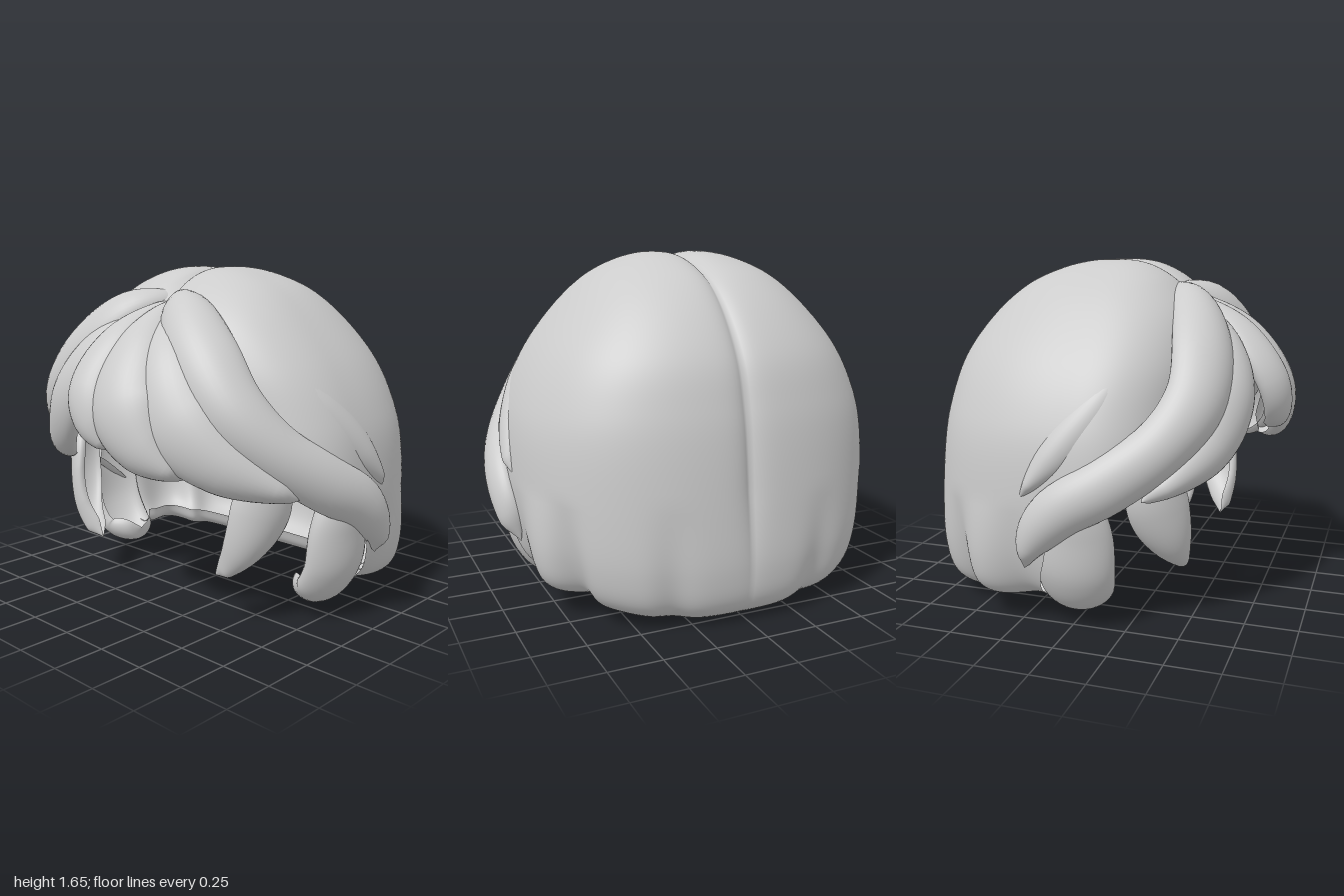
import * as THREE from 'three';

const hair = new THREE.MeshStandardMaterial({ color: 0xcccccc, side: THREE.DoubleSide });
hair.name = 'pale grey hair';
const CENTRE = new THREE.Vector3(0, 0.8, -0.05);

function gridGeometry(pos, idx) {
  const g = new THREE.BufferGeometry();
  g.setAttribute('position', new THREE.Float32BufferAttribute(pos, 3));
  g.setIndex(idx);
  g.computeVertexNormals();
  return g;
}

// Lock of hair: an arched shell with rolled edges, hollow towards the head,
// swept along points [x, y, z, halfWidth]
function lock(name, pts, thick, bend = 0.2) {
  const path = new THREE.CatmullRomCurve3(pts.map(p => new THREE.Vector3(p[0], p[1], p[2])));
  const widths = new THREE.CatmullRomCurve3(pts.map((p, i) => new THREE.Vector3(p[3], i, 0)), false, 'catmullrom');
  const rings = 48, sides = 24, roll = 0.6, pos = [], idx = [];
  for (let i = 0; i <= rings; i++) {
    const t = i / rings;
    const round = Math.sqrt(Math.max(0, 1 - Math.abs(2 * t - 1) ** 8));
    const c = path.getPoint(t), T = path.getTangent(t);
    const N = c.clone().sub(CENTRE);
    N.addScaledVector(T, -N.dot(T)).normalize();
    const B = T.clone().cross(N);
    const w = Math.max(0.01, widths.getPoint(t).x) * round;
    const h = Math.min(thick, w * 1.2 + 0.005) * round;
    for (let j = 0; j <= sides; j++) {
      const a = (j / sides) * (Math.PI + 2 * roll) - roll, cs = Math.cos(a);
      const p = c.clone().addScaledVector(B, w * cs)
        .addScaledVector(N, h * Math.sin(a) - bend * w * cs * cs);
      pos.push(p.x, p.y, p.z);
      if (i < rings && j < sides) {
        const k = i * (sides + 1) + j, m = k + sides + 1;
        idx.push(k, m, k + 1, k + 1, m, m + 1);
      }
    }
  }
  const mesh = new THREE.Mesh(gridGeometry(pos, idx), hair);
  mesh.name = name;
  return mesh;
}

// Open cap ending in a hem rolled inwards: [side, back, front, height, opening angle]
const CAP = [
  [0, 0, 0, 1.66, 180], [0.16, 0.14, 0.12, 1.65, 180], [0.31, 0.29, 0.23, 1.61, 180],
  [0.46, 0.455, 0.34, 1.53, 180], [0.61, 0.61, 0.45, 1.39, 170], [0.76, 0.74, 0.5, 1.2, 150],
  [0.86, 0.805, 0.5, 1.0, 130], [0.91, 0.84, 0.5, 0.8, 108], [0.92, 0.865, 0.5, 0.5, 91],
  [0.9, 0.87, 0.5, 0.25, 87], [0.85, 0.83, 0.5, 0.08, 85], [0.76, 0.71, 0.5, 0.0, 84],
  [0.68, 0.6, 0.45, 0.04, 84], [0.66, 0.56, 0.45, 0.12, 84],
];

function cap() {
  const curve = f => new THREE.CatmullRomCurve3(CAP.map(f), false, 'catmullrom');
  const size = curve(r => new THREE.Vector3(r[0], r[1], r[2]));
  const place = curve(r => new THREE.Vector3(r[3], r[4], 0));
  const rows = 90, cols = 160, pos = [], idx = [];
  const power = v => Math.sign(v) * Math.abs(v) ** 0.78;
  for (let i = 0; i <= rows; i++) {
    const s = size.getPoint(i / rows), q = place.getPoint(i / rows);
    const limit = Math.min(180, q.y) * Math.PI / 180;
    const low = THREE.MathUtils.clamp((0.6 - q.x) / 0.6, 0, 1);
    for (let j = 0; j <= cols; j++) {
      const u = (j / cols) * 2 - 1;
      const a = limit * Math.sign(u) * Math.abs(u) ** 1.25;
      // shallow creases between the lower locks, and a fuller lock behind the ear
      let k = 1 + 0.05 * low * Math.exp(-(((Math.abs(a) - 1.18) / 0.13) ** 2));
      for (const [c, depth] of [[0.33, 0.04], [0.95, 0.08], [1.4, 0.05]]) {
        k -= depth * low * Math.exp(-(((Math.abs(a) - c) / 0.1) ** 2));
      }
      const cos = Math.cos(a);
      const p = new THREE.Vector3(
        s.x * power(Math.sin(a)) * k,
        q.x + 0.13 * Math.sin(a) ** 2 * low,
        -(cos > 0 ? s.y : s.z) * power(cos) * k);
      // centre parting
      const dir = CENTRE.clone().sub(p).normalize();
      p.addScaledVector(dir, 0.045 * (1 - low) * Math.exp(-Math.abs(p.x) / 0.05));
      pos.push(p.x, p.y, p.z);
      if (i < rows && j < cols) {
        const n = i * (cols + 1) + j, m = n + cols + 1;
        idx.push(n, n + 1, m, n + 1, m + 1, m);
      }
    }
  }
  const mesh = new THREE.Mesh(gridGeometry(pos, idx), hair);
  mesh.name = 'hairCap';
  return mesh;
}

export function createModel() {
  const group = new THREE.Group();
  group.name = 'hair';
  group.add(cap());

  // Locks that repeat on both sides
  for (const [side, m] of [['left', 1], ['right', -1]]) {
    const add = (name, pts, thick, bend) =>
      group.add(lock(side + name, pts.map(([x, y, z, w]) => [x * m, y, z, w]), thick, bend));
    add('SweptLock', [
      [-0.01, 1.5, 0.23, 0.06], [0.2, 1.46, 0.42, 0.13], [0.42, 1.28, 0.53, 0.16],
      [0.6, 1.06, 0.54, 0.15], [0.75, 0.87, 0.42, 0.13], [0.88, 0.7, 0.2, 0.13],
      [0.93, 0.58, 0.0, 0.12], [0.92, 0.45, -0.12, 0.09], [0.88, 0.3, -0.18, 0.02]], 0.07);
    add('TempleRidge', [
      [0.65, 1.22, 0.24, 0.04], [0.8, 1.02, 0.12, 0.09], [0.885, 0.83, -0.03, 0.08],
      [0.91, 0.64, -0.18, 0.02]], 0.045);
    add('SideLock', [
      [0.85, 0.72, 0.04, 0.1], [0.83, 0.47, 0.04, 0.17], [0.8, 0.27, 0.03, 0.18],
      [0.71, 0.15, 0.02, 0.16], [0.58, 0.15, 0.02, 0.11]], 0.085, 0.1);
    add('PointedLock', [
      [0.66, 0.78, 0.36, 0.12], [0.64, 0.55, 0.38, 0.145], [0.56, 0.37, 0.42, 0.1],
      [0.41, 0.23, 0.44, 0.01]], 0.06);
  }

  // Fringe, parted off centre
  group.add(
    lock('fringeMiddle', [[0, 1.47, 0.26, 0.06], [-0.06, 1.31, 0.61, 0.12],
      [-0.08, 1.1, 0.78, 0.13], [-0.02, 0.95, 0.8, 0.11], [0.07, 0.82, 0.74, 0.02]], 0.07),
    lock('fringeLeftInner', [[0.01, 1.47, 0.26, 0.06], [0.09, 1.29, 0.61, 0.15],
      [0.15, 1.06, 0.77, 0.19], [0.26, 0.88, 0.76, 0.15], [0.42, 0.73, 0.64, 0.04]], 0.08),
    lock('fringeLeftOuter', [[0.02, 1.47, 0.26, 0.06], [0.25, 1.26, 0.58, 0.16],
      [0.41, 1.02, 0.66, 0.21], [0.58, 0.83, 0.58, 0.16], [0.82, 0.65, 0.33, 0.05]], 0.08),
    lock('fringeRight', [[-0.01, 1.47, 0.25, 0.06], [-0.23, 1.28, 0.55, 0.13],
      [-0.38, 1.07, 0.64, 0.16], [-0.53, 0.84, 0.58, 0.14], [-0.8, 0.63, 0.34, 0.05]], 0.08));
  return group;
}
